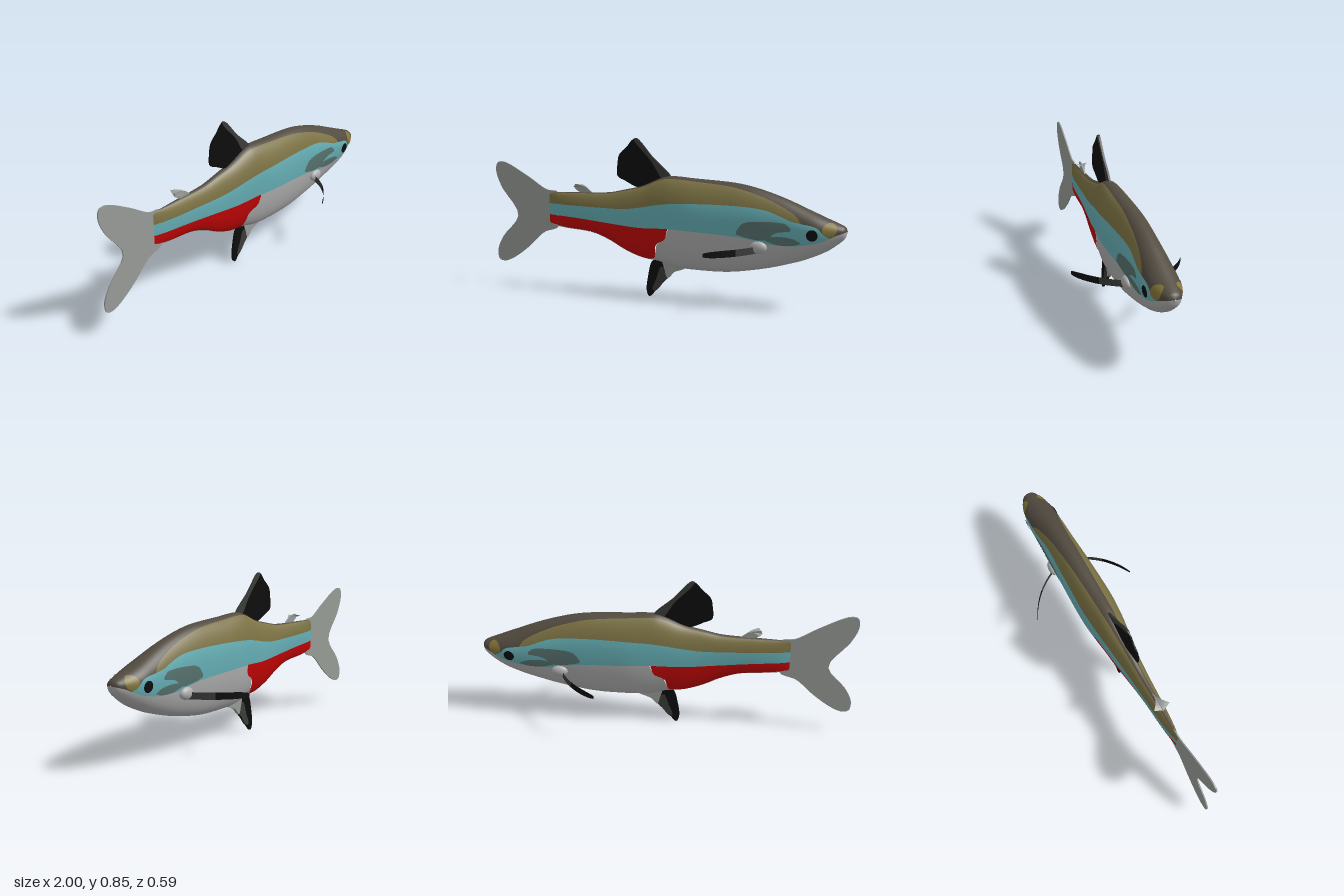
import * as THREE from 'three';

const mat = (name, color, side = THREE.FrontSide) => {
  const m = new THREE.MeshStandardMaterial({ color, side });
  m.name = name;
  return m;
};

// smooth interpolation through [x, value] keys
function curve(keys) {
  const slope = (i) => {
    const a = keys[Math.max(i - 1, 0)], b = keys[Math.min(i + 1, keys.length - 1)];
    return (b[1] - a[1]) / (b[0] - a[0]);
  };
  return (x) => {
    if (x <= keys[0][0]) return keys[0][1];
    for (let i = 0; i < keys.length - 1; i++) {
      const [x0, y0] = keys[i], [x1, y1] = keys[i + 1];
      if (x > x1) continue;
      const h = x1 - x0, t = (x - x0) / h, t2 = t * t, t3 = t2 * t;
      return (2 * t3 - 3 * t2 + 1) * y0 + (t3 - 2 * t2 + t) * h * slope(i)
        + (3 * t2 - 2 * t3) * y1 + (t3 - t2) * h * slope(i + 1);
    }
    return keys[keys.length - 1][1];
  };
}

// body outline: back, belly and half width along x
const top = curve([[-0.66, 0.545], [-0.5, 0.55], [-0.3, 0.558], [-0.2, 0.578], [-0.1, 0.602], [0, 0.645], [0.06, 0.66],
  [0.2, 0.652], [0.4, 0.64], [0.5, 0.624], [0.6, 0.597], [0.7, 0.562], [0.8, 0.52], [0.9, 0.478], [0.97, 0.45], [0.99, 0.438], [1, 0.42]]);
const bottom = curve([[-0.66, 0.36], [-0.55, 0.347], [-0.4, 0.332], [-0.3, 0.298], [-0.2, 0.247], [-0.1, 0.212], [0, 0.198],
  [0.1, 0.172], [0.3, 0.165], [0.4, 0.17], [0.5, 0.185], [0.6, 0.205], [0.7, 0.232], [0.8, 0.265], [0.9, 0.312], [0.96, 0.355], [0.99, 0.385], [1, 0.415]]);
const halfWidth = curve([[-0.66, 0.006], [-0.6, 0.02], [-0.5, 0.031], [-0.4, 0.037], [-0.2, 0.052], [0, 0.077], [0.1, 0.089],
  [0.2, 0.096], [0.4, 0.092], [0.6, 0.086], [0.8, 0.085], [0.86, 0.081], [0.92, 0.065], [0.97, 0.044], [0.99, 0.028], [1, 0.002]]);

// cross-section: an ellipse whose widest point sits above the middle
const middle = (x) => bottom(x) + 0.61 * (top(x) - bottom(x));
function skin(x, a) {
  const c = middle(x), h = a < Math.PI / 2 ? c - bottom(x) : top(x) - c;
  return new THREE.Vector3(x, c - Math.cos(a) * h, halfWidth(x) * Math.sin(a));
}
function angleAt(x, y) {
  const c = middle(x), h = y < c ? c - bottom(x) : top(x) - c;
  return Math.acos(THREE.MathUtils.clamp((c - y) / h, -1, 1));
}
function skinNormal(x, a) {
  const e = 0.004, b = THREE.MathUtils.clamp(a, 0.01, Math.PI - 0.01);
  const dx = skin(Math.min(x + e, 1), b).sub(skin(Math.max(x - e, -0.66), b));
  const da = skin(x, b + 0.005).sub(skin(x, b - 0.005));
  return dx.cross(da).normalize();
}

// grid surface from f(u, v) -> { p, n }; side -1 mirrors it across z
function grid(f, nu, nv, side) {
  const pos = [], nor = [], idx = [];
  for (let i = 0; i <= nu; i++) for (let j = 0; j <= nv; j++) {
    const { p, n } = f(i / nu, j / nv);
    pos.push(p.x, p.y, p.z * side);
    if (n) nor.push(n.x, n.y, n.z * side);
    if (i === nu || j === nv) continue;
    const a = i * (nv + 1) + j, b = a + nv + 1;
    if (side > 0) idx.push(a, b, b + 1, a, b + 1, a + 1);
    else idx.push(a, b + 1, b, a, a + 1, b + 1);
  }
  const g = new THREE.BufferGeometry();
  g.setAttribute('position', new THREE.Float32BufferAttribute(pos, 3));
  g.setIndex(idx);
  if (nor.length) g.setAttribute('normal', new THREE.Float32BufferAttribute(nor, 3));
  else g.computeVertexNormals();
  return g;
}

// piece of skin between two height curves
function band(x0, x1, low, high, side, lift = 0, nu = 130) {
  return grid((u, v) => {
    const x = x0 + (x1 - x0) * Math.sin(u * Math.PI / 2);
    const a0 = angleAt(x, low(x)), a = a0 + (Math.max(angleAt(x, high(x)), a0) - a0) * v;
    const n = skinNormal(x, a);
    return { p: skin(x, a).addScaledVector(n, lift), n };
  }, nu, 10, side);
}

// round spot lying on the skin
function spot(cx, cy, r, lift, side) {
  return grid((u, v) => {
    const t = v * Math.PI * 2, x = cx + r * u * Math.cos(t), y = cy + r * u * Math.sin(t);
    const a = angleAt(x, y), n = skinNormal(x, a);
    return { p: skin(x, a).addScaledVector(n, lift), n };
  }, 5, 24, side);
}

// thin upright fin from a smooth outline
function fin(points, depth) {
  const c = new THREE.CatmullRomCurve3(points.map(([x, y]) => new THREE.Vector3(x, y, 0)), true);
  const shape = new THREE.Shape(c.getPoints(70).slice(0, -1).map((p) => new THREE.Vector2(p.x, p.y)));
  return new THREE.ExtrudeGeometry(shape, { depth, bevelEnabled: false }).translate(0, 0, -depth / 2);
}

export function createModel() {
  const fish = new THREE.Group();
  fish.name = 'fish';
  const D = THREE.DoubleSide;
  const belly = mat('belly grey', 0xb0b0b0), red = mat('red', 0xc40404), blue = mat('blue', 0x66b0b6);
  const olive = mat('olive', 0x7d7345), brown = mat('back brown', 0x524b40), patch = mat('gill grey', 0x58736f);
  const black = mat('black', 0x0d0d0d, D), charcoal = mat('charcoal', 0x3c3c3a, D);
  const finGrey = mat('fin grey', 0x989c97, D), gold = mat('gold', 0x857639);
  const add = (name, geometry, material) => {
    const m = new THREE.Mesh(geometry, material);
    m.name = name;
    fish.add(m);
    return m;
  };

  // colour borders, from belly to back
  const redTop = curve([[-0.66, 0.42], [-0.5, 0.412], [-0.3, 0.395], [-0.1, 0.382], [0.07, 0.388], [0.3, 0.38], [0.45, 0.37],
    [0.55, 0.355], [0.62, 0.34], [0.75, 0.34], [0.85, 0.358], [0.9, 0.375], [0.95, 0.4], [1, 0.418]]);
  const redLow = curve([[-0.66, 0.372], [-0.55, 0.352], [-0.4, 0.337], [-0.3, 0.303], [-0.2, 0.252], [-0.1, 0.217], [-0.02, 0.222],
    [-0.005, 0.29], [0.055, 0.335], [0.072, 0.388]]);
  const bellyTop = (x) => (x > 0.07 ? redTop(x) : Math.min(redLow(x), redTop(x)));
  const blueEdge = curve([[-0.66, 0.482], [-0.4, 0.477], [-0.2, 0.477], [-0.1, 0.49], [0, 0.51], [0.1, 0.523], [0.3, 0.53], [0.5, 0.525],
    [0.6, 0.512], [0.68, 0.485], [0.73, 0.465], [0.78, 0.455], [0.86, 0.437], [0.9, 0.4], [0.93, 0.388], [1, 0.41]]);
  const blueTop = (x) => Math.max(blueEdge(x), redTop(x));
  const oliveEdge = curve([[-0.66, 0.542], [-0.5, 0.546], [-0.3, 0.553], [-0.2, 0.572], [-0.1, 0.595], [0, 0.635], [0.06, 0.648],
    [0.2, 0.64], [0.4, 0.622], [0.5, 0.6], [0.6, 0.568], [0.7, 0.523], [0.76, 0.485], [0.785, 0.45], [1, 0.3]]);
  const oliveTop = (x) => Math.max(oliveEdge(x), blueTop(x));

  // gill patches
  const gillLow = curve([[0.45, 0.385], [0.5, 0.37], [0.6, 0.362], [0.65, 0.4], [0.73, 0.415]]);
  const gillHigh = curve([[0.45, 0.4], [0.48, 0.44], [0.55, 0.455], [0.7, 0.452], [0.73, 0.43]]);
  const cheekLow = curve([[0.6, 0.36], [0.66, 0.342], [0.74, 0.342], [0.78, 0.355]]);
  const cheekHigh = curve([[0.6, 0.375], [0.66, 0.385], [0.74, 0.378], [0.78, 0.36]]);

  for (const s of [1, -1]) {
    const side = s > 0 ? 'right' : 'left';
    const nose = [-0.66, 1];
    add(`${side} belly`, band(...nose, bottom, bellyTop, s), belly);
    add(`${side} red flank`, band(-0.66, 0.075, bellyTop, redTop, s), red);
    add(`${side} blue stripe`, band(...nose, redTop, blueTop, s), blue);
    add(`${side} olive stripe`, band(...nose, blueTop, oliveTop, s), olive);
    add(`${side} back`, band(...nose, oliveTop, top, s), brown);
    add(`${side} gill patch`, band(0.45, 0.73, gillLow, gillHigh, s, 0.003, 30), patch);
    add(`${side} cheek patch`, band(0.6, 0.78, cheekLow, cheekHigh, s, 0.003, 24), patch);
    add(`${side} eye`, spot(0.838, 0.4, 0.028, 0.005, s), black);
    add(`${side} snout spot`, spot(0.92, 0.427, 0.034, 0.003, s), gold);

    // pectoral fin: a narrow blade sweeping out and back
    const sweep = new THREE.QuadraticBezierCurve3(new THREE.Vector3(0.555, 0.308, 0.075),
      new THREE.Vector3(0.49, 0.308, 0.22), new THREE.Vector3(0.34, 0.303, 0.293));
    const blade = (t0, t1) => grid((u, v) => {
      const t = t0 + (t1 - t0) * u, p = sweep.getPoint(t);
      p.y += (v - 0.5) * 0.036 * Math.sqrt(1 - Math.pow(t, 8) * 0.75);
      return { p };
    }, 12, 2, s);
    add(`${side} pectoral fin base`, blade(0, 0.45), charcoal);
    add(`${side} pectoral fin tip`, blade(0.45, 1), black);
    const root = add(`${side} pectoral root`, new THREE.SphereGeometry(1, 16, 10), belly);
    root.scale.set(0.045, 0.032, 0.022);
    root.position.set(0.565, 0.322, s * 0.08);

    // flared half of the small rear back fin
    add(`${side} adipose fin`, grid((u, v) => ({
      p: new THREE.Vector3(-0.4 - 0.11 * u + 0.02 * v * u, 0.552 + 0.03 * Math.sin(u * 2.2) + 0.012 * v * u, 0.045 * u * u * v),
    }), 8, 4, s), finGrey);
  }

  // tail
  add('tail fin', fin([[-0.61, 0.545], [-0.68, 0.558], [-0.8, 0.63], [-0.95, 0.704], [-0.99, 0.698], [-1, 0.65], [-0.965, 0.56],
    [-0.862, 0.405], [-0.96, 0.28], [-0.998, 0.2], [-0.99, 0.145], [-0.955, 0.135], [-0.9, 0.155], [-0.8, 0.225],
    [-0.7, 0.315], [-0.61, 0.352], [-0.63, 0.45]], 0.007), finGrey);

  // back fin
  add('dorsal fin', fin([[0.04, 0.65], [-0.04, 0.745], [-0.13, 0.848], [-0.155, 0.848], [-0.19, 0.81], [-0.235, 0.765], [-0.245, 0.72],
    [-0.245, 0.65], [-0.2, 0.625], [-0.12, 0.592], [-0.02, 0.615]], 0.007), black);
  add('dorsal fin leading edge', fin([[0.06, 0.655], [-0.04, 0.755], [-0.135, 0.855], [-0.15, 0.85], [-0.05, 0.735], [0.02, 0.64]], 0.011), charcoal);
  add('adipose ridge', fin([[-0.4, 0.55], [-0.46, 0.588], [-0.505, 0.592], [-0.5, 0.57], [-0.45, 0.545]], 0.008), finGrey);

  // belly fin
  add('pelvic fin', fin([[0.02, 0.21], [-0.04, 0.2], [-0.068, 0.11], [-0.075, 0.03], [-0.06, 0.002], [-0.03, 0.03], [0.02, 0.085],
    [0.06, 0.13], [0.06, 0.19]], 0.012), black);
  add('pelvic fin streak', fin([[0.01, 0.17], [-0.02, 0.1], [-0.04, 0.04], [-0.025, 0.036], [0.02, 0.087], [0.05, 0.125]], 0.016), charcoal);
  add('pelvic fin base', fin([[0.02, 0.21], [0.16, 0.182], [0.14, 0.167], [0.08, 0.143], [0.045, 0.11], [0.03, 0.15]], 0.018), finGrey);
  return fish;
}
